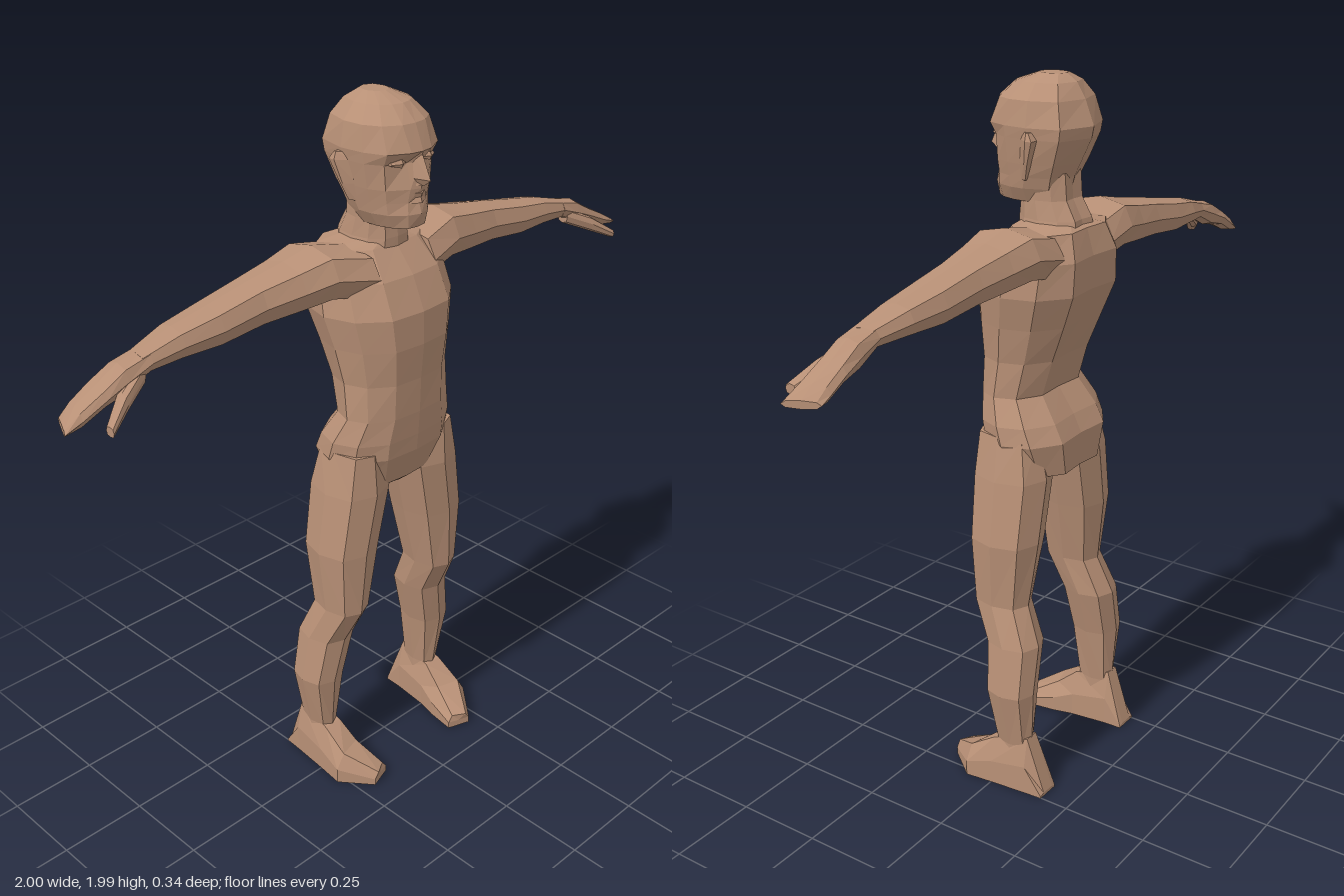
import * as THREE from 'three';

const skin = new THREE.MeshStandardMaterial({ color: 0xb8907a });
skin.name = 'skin';
skin.color.set(0xb89076);

// Faceted skin over a row of rings (equal point counts), closed at both ends
function loft(name, rings) {
  const n = rings[0].length, tris = [];
  const add = (a, b, c) => tris.push([a, b, c]);
  for (let r = 0; r < rings.length - 1; r++) {
    for (let i = 0; i < n; i++) {
      const j = (i + 1) % n, A = rings[r], B = rings[r + 1];
      add(A[i], A[j], B[j]);
      add(A[i], B[j], B[i]);
    }
  }
  const centre = ring => [0, 1, 2].map(k => ring.reduce((s, p) => s + p[k], 0) / n);
  const first = rings[0], last = rings[rings.length - 1];
  for (let i = 0; i < n; i++) {
    const j = (i + 1) % n;
    add(centre(first), first[j], first[i]);
    add(centre(last), last[i], last[j]);
  }
  // Turn the faces outward by the sign of the enclosed volume
  const v = p => new THREE.Vector3(...p);
  const volume = tris.reduce((s, [a, b, c]) => s + v(a).dot(v(b).cross(v(c))), 0);
  const points = tris.flatMap(([a, b, c]) => (volume > 0 ? [a, b, c] : [a, c, b])).flat();
  const geometry = new THREE.BufferGeometry();
  geometry.setAttribute('position', new THREE.Float32BufferAttribute(points, 3));
  geometry.computeVertexNormals();
  const mesh = new THREE.Mesh(geometry, skin);
  mesh.name = name;
  return mesh;
}

// Eight-sided section between two limits on each axis
function octagon(u0, u1, v0, v1, place) {
  const k = 0.76;
  const dirs = [[1, 0], [k, k], [0, 1], [-k, k], [-1, 0], [-k, -k], [0, -1], [k, -k]];
  return dirs.map(([a, b]) => place(
    (u0 + u1) / 2 + a * (u1 - u0) / 2, (v0 + v1) / 2 + b * (v1 - v0) / 2));
}

// Left-right symmetric ring from half of its [x, z] outline
function symmetric(y, half) {
  const right = half.slice(1, -1).reverse().map(([x, z]) => [-x, y, z]);
  return [...half.map(([x, z]) => [x, y, z]), ...right];
}

// Trunk section: height, half width, front z, back z
function trunkRing([y, w, front, back]) {
  const mid = (front + back) / 2, d = (front - back) / 2;
  const outline = [[0, 1], [0.5, 0.94], [0.86, 0.55], [1, 0], [0.88, -0.6], [0.5, -1], [0, -0.94]];
  return symmetric(y, outline.map(([a, b]) => [a * w, mid + b * d]));
}

function buildTrunk() {
  const torso = loft('torso', [
    [0.91, 0.04, 0.06, -0.08], [0.935, 0.16, 0.09, -0.13], [1.03, 0.205, 0.125, -0.135],
    [1.08, 0.203, 0.13, -0.11], [1.15, 0.176, 0.135, -0.06], [1.25, 0.172, 0.138, -0.09],
    [1.35, 0.188, 0.147, -0.13], [1.44, 0.208, 0.145, -0.165], [1.53, 0.2, 0.105, -0.168],
    [1.6, 0.16, 0.045, -0.145], [1.615, 0.07, 0.03, -0.11],
  ].map(trunkRing));
  const neck = loft('neck', [
    [1.56, 0.095, 0.05, -0.14], [1.62, 0.08, 0.05, -0.128],
    [1.67, 0.075, 0.045, -0.1], [1.74, 0.075, 0.04, -0.095],
  ].map(trunkRing));
  return [torso, neck];
}

function buildHead() {
  const head = new THREE.Group();
  head.name = 'head';
  // Outlines from the middle of the face round to the back of the skull
  head.add(loft('skull', [
    symmetric(1.663, [[0, 0.12], [0.03, 0.115], [0.055, 0.085], [0.068, 0.045], [0.07, 0], [0.055, -0.06], [0, -0.085]]),
    symmetric(1.70, [[0, 0.132], [0.035, 0.12], [0.072, 0.085], [0.088, 0.04], [0.09, 0], [0.068, -0.065], [0, -0.092]]),
    symmetric(1.73, [[0, 0.122], [0.032, 0.115], [0.075, 0.083], [0.093, 0.04], [0.097, -0.01], [0.075, -0.075], [0, -0.1]]),
    symmetric(1.765, [[0, 0.13], [0.028, 0.12], [0.08, 0.085], [0.1, 0.04], [0.104, -0.02], [0.085, -0.09], [0, -0.118]]),
    symmetric(1.83, [[0, 0.125], [0.026, 0.105], [0.085, 0.085], [0.11, 0.04], [0.116, -0.03], [0.098, -0.115], [0, -0.15]]),
    symmetric(1.86, [[0, 0.135], [0.035, 0.13], [0.09, 0.1], [0.114, 0.04], [0.121, -0.03], [0.1, -0.12], [0, -0.156]]),
    symmetric(1.925, [[0, 0.108], [0.04, 0.103], [0.083, 0.075], [0.106, 0.03], [0.11, -0.03], [0.086, -0.105], [0, -0.13]]),
    symmetric(1.965, [[0, 0.065], [0.03, 0.058], [0.057, 0.04], [0.072, 0.01], [0.075, -0.03], [0.058, -0.085], [0, -0.105]]),
    symmetric(1.985, [[0, 0.005], [0.015, 0], [0.025, -0.01], [0.032, -0.025], [0.032, -0.04], [0.025, -0.065], [0, -0.075]]),
  ]));
  // Nose
  head.add(loft('nose', [
    [[-0.024, 1.772, 0.115], [0.024, 1.772, 0.115], [0, 1.772, 0.138]],
    [[-0.022, 1.792, 0.112], [0.022, 1.792, 0.112], [0, 1.79, 0.162]],
    [[-0.013, 1.85, 0.11], [0.013, 1.85, 0.11], [0, 1.85, 0.134]],
  ]));
  // Lips
  head.add(loft('mouth', [-0.036, 0, 0.036].map(x => {
    const z = x ? 0.112 : 0.134;
    return [[x, 1.728, z - 0.02], [x, 1.728, z], [x, 1.742, z - 0.005], [x, 1.754, z], [x, 1.754, z - 0.02]];
  })));
  for (const s of [1, -1]) {
    // Eyelids
    head.add(loft('eye', [[0.03, 0.1, 0.004], [0.05, 0.111, 0.011], [0.075, 0.097, 0.004]].map(([x, z, h]) =>
      [[s * x, 1.833 - h, z], [s * x, 1.833, z + 0.005], [s * x, 1.833 + h, z], [s * x, 1.833, z - 0.03]])));
    // Ears
    head.add(loft('ear', [[1.725, 0.096, 0.106, 0, -0.018], [1.77, 0.1, 0.121, 0.004, -0.035],
      [1.83, 0.105, 0.136, 0, -0.058], [1.85, 0.105, 0.13, -0.012, -0.045]].map(([y, a, b, f, r]) =>
      [[s * a, y, f], [s * b, y, (f + r) / 2 - 0.01], [s * b, y, r], [s * a, y, r]])));
  }
  return head;
}

function buildArm(s) {
  const arm = new THREE.Group();
  arm.name = s > 0 ? 'leftArm' : 'rightArm';
  // x, bottom, top, back, front, slant of the section
  const ring = ([x, y0, y1, z0, z1, slant = 0]) =>
    octagon(y0, y1, z0, z1, (y, z) => [s * (x + slant * (z - z1)), y, z]);
  arm.add(loft('arm', [
    [0.1, 1.47, 1.605, -0.15, 0.09], [0.22, 1.49, 1.63, -0.145, 0.065], [0.31, 1.483, 1.61, -0.13, 0.045],
    [0.42, 1.478, 1.59, -0.118, 0.025], [0.55, 1.465, 1.565, -0.112, 0.02], [0.66, 1.468, 1.545, -0.1, 0.01],
    [0.77, 1.465, 1.515, -0.075, 0],
  ].map(ring)));
  arm.add(loft('hand', [
    [0.75, 1.468, 1.519, -0.078, 0.003], [0.82, 1.432, 1.505, -0.082, 0.002], [0.88, 1.42, 1.47, -0.087, 0.002],
    [0.95, 1.392, 1.437, -0.087, 0, 0.2], [1, 1.388, 1.408, -0.085, 0, 0.45],
  ].map(ring)));
  arm.add(loft('thumb', [
    [0.77, 1.445, 1.49, -0.04, -0.002], [0.85, 1.41, 1.455, -0.01, 0.035], [0.915, 1.382, 1.408, 0.035, 0.066],
  ].map(ring)));
  return arm;
}

function buildLeg(s) {
  const leg = new THREE.Group();
  leg.name = s > 0 ? 'leftLeg' : 'rightLeg';
  // y, inner x, outer x, back, front
  leg.add(loft('legMuscle', [
    [1.05, 0.07, 0.2, -0.08, 0.1], [0.93, 0.04, 0.228, -0.105, 0.108], [0.75, 0.08, 0.255, -0.1, 0.1],
    [0.56, 0.12, 0.24, -0.075, 0.09], [0.45, 0.128, 0.262, -0.12, 0.035],
    [0.31, 0.16, 0.285, -0.12, 0.02], [0.14, 0.182, 0.25, -0.11, 0], [0.08, 0.182, 0.25, -0.11, 0],
  ].map(([y, x0, x1, z0, z1]) => octagon(x0, x1, z0, z1, (x, z) => [s * x, y, z]))));
  // Foot sections from heel to toe: inner z, outer z, inner x, outer x, height
  leg.add(loft('foot', [
    [-0.165, -0.165, 0.18, 0.252, 0.01], [-0.11, -0.11, 0.178, 0.256, 0.17], [0, 0, 0.165, 0.266, 0.14],
    [0.06, 0.08, 0.15, 0.275, 0.09], [0.145, 0.168, 0.138, 0.205, 0.04],
  ].map(([zi, zo, xi, xo, h]) => {
    const inset = (xo - xi) * 0.22;
    return [[s * xi, 0, zi], [s * xi, h * 0.5, zi], [s * (xi + inset), h, zi],
      [s * (xo - inset), h, zo], [s * xo, h * 0.5, zo], [s * xo, 0, zo]];
  })));
  return leg;
}

export function createModel() {
  const model = new THREE.Group();
  model.name = 'standingFigure';
  model.add(...buildTrunk(), buildHead());
  for (const s of [1, -1]) model.add(buildArm(s), buildLeg(s));
  return model;
}
